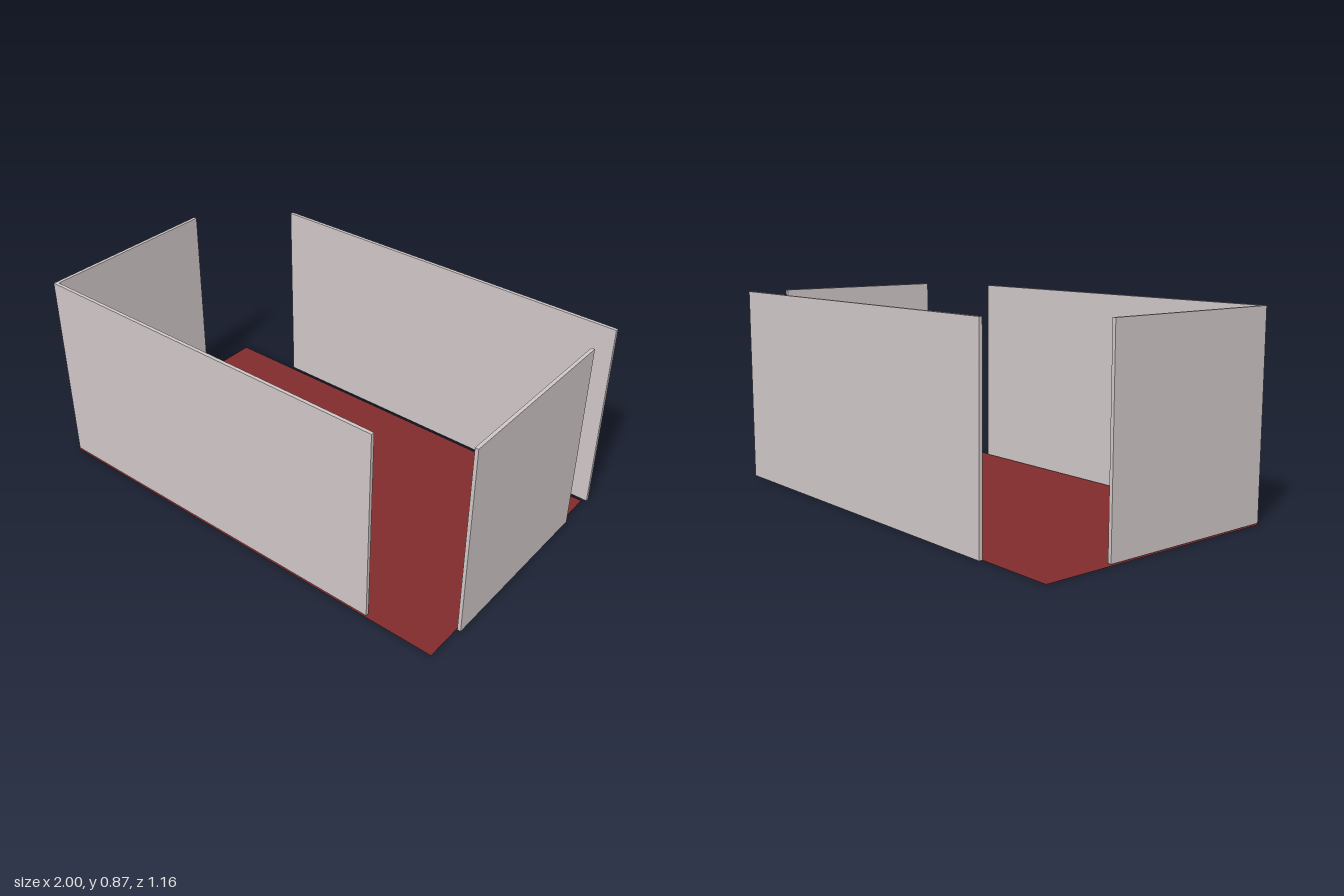
import * as THREE from 'three';

export function createModel() {
  const group = new THREE.Group();
  const wallMat = new THREE.MeshStandardMaterial({ color: 0xcfc6c6 });
  const floorMat = new THREE.MeshStandardMaterial({ color: 0x802b2b, side: THREE.DoubleSide });

  // Thin floor sheet
  const floor = new THREE.Mesh(new THREE.PlaneGeometry(1.98, 1.14), floorMat);
  floor.name = 'floor';
  floor.rotation.x = -Math.PI / 2;
  floor.position.set(-0.01, 0, 0.01);
  group.add(floor);

  // Four free-standing panels, each given by its x and z extents
  const bottom = 0.004, top = 0.866;
  const walls = [
    ['frontWall', -0.995, 0.675, 0.56, 0.575],
    ['backWall', -0.675, 1.0, -0.583, -0.568],
    ['rightWall', -0.995, -0.98, -0.25, 0.56],
    ['leftWall', 0.985, 1.0, -0.393, 0.415],
  ];
  for (const [name, x0, x1, z0, z1] of walls) {
    const wall = new THREE.Mesh(new THREE.BoxGeometry(x1 - x0, top - bottom, z1 - z0), wallMat);
    wall.name = name;
    wall.position.set((x0 + x1) / 2, (bottom + top) / 2, (z0 + z1) / 2);
    group.add(wall);
  }
  return group;
}
